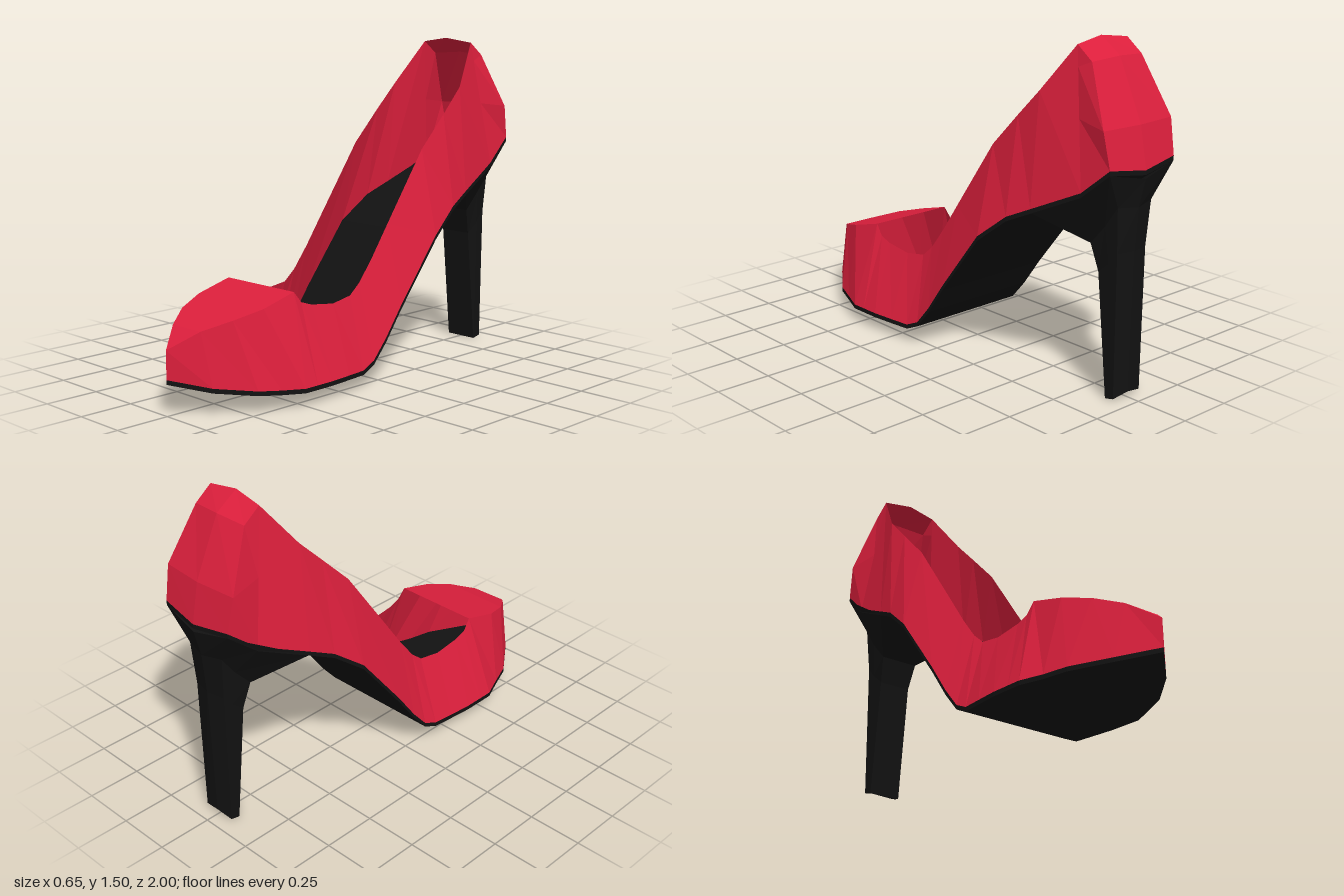
import * as THREE from 'three';

const material = (color) => new THREE.MeshStandardMaterial({ color, flatShading: true, side: THREE.DoubleSide });

const mirror = ([x, y, z]) => [-x, y, z];
const lerp = (a, b, t) => a.map((v, i) => v + (b[i] - v) * t);

// Skins a list of cross-sections; closed joins each section's ends, capped fills the first and last
function loft(rows, { closed = false, capped = false } = {}) {
  const positions = [];
  const tri = (...corners) => {
    const t = new THREE.Triangle(...corners.map((p) => new THREE.Vector3(...p)));
    if (t.getArea() > 1e-8) positions.push(...corners.flat());
  };
  for (let i = 0; i < rows.length - 1; i++) {
    const n = rows[i].length;
    for (let j = 0; j < (closed ? n : n - 1); j++) {
      const k = (j + 1) % n;
      tri(rows[i][j], rows[i][k], rows[i + 1][k]);
      tri(rows[i][j], rows[i + 1][k], rows[i + 1][j]);
    }
  }
  if (capped) {
    const first = rows[0], last = rows[rows.length - 1];
    for (let j = 1; j < first.length - 1; j++) {
      tri(first[0], first[j + 1], first[j]);
      tri(last[0], last[j], last[j + 1]);
    }
  }
  const geometry = new THREE.BufferGeometry();
  geometry.setAttribute('position', new THREE.Float32BufferAttribute(positions, 3));
  geometry.computeVertexNormals();
  return geometry;
}

// Left half of the shoe from toe to heel: [sole edge point, upper rim point]
const stations = [
  [[0, 0.16, 1], [0, 0.285, 1]],
  [[0.14, 0.125, 0.87], [0.09, 0.36, 0.89]],
  [[0.25, 0.105, 0.72], [0.165, 0.4, 0.78]],
  [[0.285, 0.095, 0.62], [0.21, 0.435, 0.65]],
  [[0.325, 0.09, 0.52], [0.21, 0.48, 0.48]],
  [[0.325, 0.09, 0.45], [0.215, 0.43, 0.44]],
  [[0.325, 0.09, 0.36], [0.215, 0.41, 0.38]],
  [[0.315, 0.09, 0.25], [0.215, 0.393, 0.25]],
  [[0.305, 0.09, 0.15], [0.21, 0.41, 0.14]],
  [[0.3, 0.12, 0.08], [0.21, 0.46, 0.08]],
  [[0.3, 0.21, 0], [0.21, 0.56, 0]],
  [[0.3, 0.345, -0.1], [0.21, 0.7, -0.1]],
  [[0.3, 0.63, -0.33], [0.21, 1.02, -0.33]],
  [[0.275, 0.745, -0.48], [0.21, 1.17, -0.48]],
  [[0.25, 0.8, -0.6], [0.205, 1.29, -0.6]],
  [[0.205, 0.91, -0.84], [0.145, 1.49, -0.75]],
];
const capEnd = 5; // number of stations covered by the toe cap

export function createModel() {
  const group = new THREE.Group();
  const red = material(0xdc1f3c);
  const black = material(0x121212);
  const add = (name, geometry, mat) => {
    const mesh = new THREE.Mesh(geometry, mat);
    mesh.name = name;
    group.add(mesh);
  };

  // Toe cap: sides plus the flat top
  add('toeCap', loft(stations.slice(0, capEnd).map(([s, r]) => [mirror(s), mirror(r), r, s])), red);

  // Side walls
  const sides = stations.slice(capEnd - 1);
  add('leftSide', loft(sides.map(([s, r]) => [r, s])), red);
  add('rightSide', loft(sides.map(([s, r]) => [mirror(s), mirror(r)])), red);

  // Heel counter wrapping round the back, with a slight centre ridge
  const [sideSole, sideRim] = stations[stations.length - 1];
  const sideColumn = [0, 0.15, 0.5, 1].map((t) => lerp(sideRim, sideSole, t));
  const backColumn = [[0.145, 1.49, -0.75], [0.145, 1.43, -0.83], [0.2, 1.18, -0.95], [0.19, 1.025, -0.98]];
  const centre = [[0, 1.51, -0.74], [0, 1.44, -0.845], [0, 1.18, -0.965], [0, 1, -1]];
  add('heelCounter', loft([sideColumn, backColumn, centre, backColumn.map(mirror), sideColumn.map(mirror)]), red);

  // Thin sole slab, its upper face being the insole
  const thickness = 0.02;
  const soleEdge = [...stations.map(([s]) => s), [0.19, 1.025, -0.98], [0, 1, -1]];
  const lower = ([x, y, z]) => [x, y - thickness, z];
  add('sole', loft(soleEdge.map((p) => [lower(mirror(p)), mirror(p), p, lower(p)]), { closed: true }), black);

  // Heel: rings from the tip upward, each given as front, middle, back and back centre
  const heelRings = [
    [[0.08, 0.005, -0.885], [0.08, 0.01, -0.91], [0.08, 0.015, -0.93], [0, 0.03, -0.94]],
    [[0.08, 0.55, -0.83], [0.085, 0.6, -0.89], [0.085, 0.65, -0.935], [0, 0.65, -0.952]],
    [[0.095, 0.67, -0.797], [0.1, 0.76, -0.88], [0.1, 0.85, -0.945], [0, 0.84, -0.968]],
    [[0.248, 0.782, -0.6], [0.205, 0.895, -0.84], [0.19, 1.005, -0.98], [0, 0.965, -1]],
  ].map(([f, m, b, c]) => [mirror(f), f, m, b, c, mirror(b), mirror(m)]);
  add('heel', loft(heelRings, { closed: true, capped: true }), black);

  return group;
}
